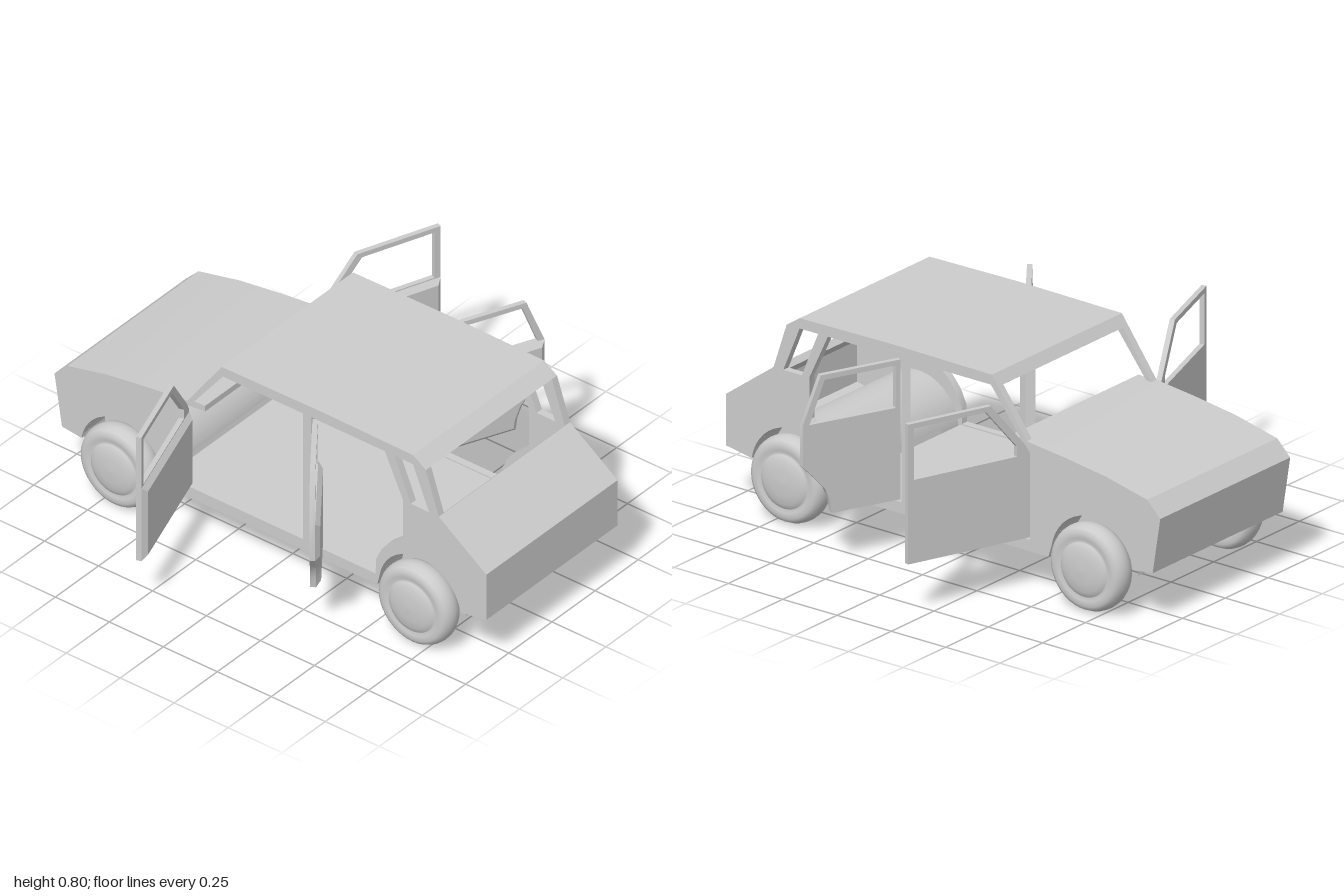
import * as THREE from 'three';
import { toCreasedNormals } from 'three/addons/utils/BufferGeometryUtils.js';

const material = new THREE.MeshStandardMaterial({ color: 0xcccccc });
const thinMaterial = new THREE.MeshStandardMaterial({ color: 0xcccccc, side: THREE.DoubleSide });
const WHEEL_Y = 0.17, ARCH_R = 0.19;
const AXLES = { rear: 0.693, front: -0.687 };
const HALF = 0.38, SKIN = 0.03;

const toVec = (pts) => pts.map(([a, b]) => new THREE.Vector2(a, b));

function mesh(name, geometry, mat = material) {
  const m = new THREE.Mesh(geometry, mat);
  m.name = name;
  return m;
}

// Extrude a (z, y) outline along x, centred on centreX
function extrudeX(pts, width, centreX = 0, holes = [], bevel = null) {
  const shape = new THREE.Shape(toVec(pts));
  for (const h of holes) shape.holes.push(new THREE.Path(toVec(h)));
  const geo = new THREE.ExtrudeGeometry(shape, { depth: width, bevelEnabled: false, ...bevel });
  geo.rotateY(-Math.PI / 2);
  geo.translate(centreX + width / 2, 0, 0);
  return toCreasedNormals(geo, 0.45);
}

// Points over a wheel arch, from the rear end to the front end
function archPoints(z, y0 = 0.2, n = 18) {
  const a = Math.asin((y0 - WHEEL_Y) / ARCH_R);
  return Array.from({ length: n + 1 }, (_, i) => {
    const t = a + (Math.PI - 2 * a) * i / n;
    return [z + ARCH_R * Math.cos(t), WHEEL_Y + ARCH_R * Math.sin(t)];
  });
}

const hoodLine = [[-0.965, 0.21], [-1, 0.43], [-0.94, 0.49], [-0.75, 0.533], [-0.56, 0.56], [-0.385, 0.58]];
const roofLine = [[-0.225, 0.8], [0.25, 0.805], [0.66, 0.8], [0.72, 0.76]];
const tailLine = [[0.78, 0.58], [1, 0.42], [1, 0.22]];

function addBody(group) {
  // Side panels with door and window openings
  const outline = [
    ...tailLine, ...archPoints(AXLES.rear), [0.495, 0.155], [-0.485, 0.155],
    ...archPoints(AXLES.front), ...hoodLine, ...roofLine,
  ];
  const openings = [
    [[0.15, 0.2], [-0.4, 0.2], [-0.4, 0.54], [-0.365, 0.575], [-0.22, 0.76], [0.15, 0.76]],
    [[0.19, 0.2], [0.487, 0.2], [0.49, 0.266], [0.515, 0.32], [0.55, 0.363], [0.615, 0.416],
      [0.615, 0.58], [0.53, 0.76], [0.19, 0.76]],
    [[0.65, 0.58], [0.735, 0.58], [0.66, 0.76], [0.575, 0.76]],
  ];
  for (const [side, s] of [['left', 1], ['right', -1]]) {
    group.add(mesh(side + 'SidePanel', extrudeX(outline, SKIN, s * (HALF - SKIN / 2), openings)));
  }

  // Panels that span the car between the sides
  const w = 2 * HALF - 0.02;
  group.add(mesh('hood', extrudeX([
    [-0.87, 0.2], ...hoodLine, [-0.31, 0.585], [-0.31, 0.56], [-0.56, 0.535], [-0.75, 0.508],
    [-0.92, 0.467], [-0.97, 0.42], [-0.94, 0.235], [-0.87, 0.225],
  ], w)));
  group.add(mesh('roof', extrudeX([
    ...roofLine, [0.7, 0.755], [0.65, 0.77], [-0.215, 0.77], [-0.24, 0.757], [-0.254, 0.76],
  ], w)));
  group.add(mesh('tailgate', extrudeX([
    ...tailLine, [0.88, 0.2], [0.88, 0.225], [0.97, 0.245], [0.97, 0.405], [0.76, 0.56],
  ], w)));
  group.add(mesh('floor', extrudeX([
    [0.495, 0.155], [0.495, 0.195], [-0.49, 0.195], [-0.485, 0.155],
  ], w)));

  // Wheel housings: full-width arch skins with a solid centre between the wheels
  for (const [end, z] of Object.entries(AXLES)) {
    const skin = new THREE.CylinderGeometry(ARCH_R, ARCH_R, 2 * (HALF - SKIN), 24, 1, true, 0, Math.PI);
    skin.rotateZ(Math.PI / 2);
    skin.translate(0, WHEEL_Y, z);
    group.add(mesh(end + 'ArchSkin', skin, thinMaterial));
    const inner = end === 'rear' ? [[0.495, 0.155]] : [];
    const outer = end === 'front' ? [[-0.485, 0.155]] : [];
    group.add(mesh(end + 'ArchCentre', extrudeX([...outer, ...archPoints(z), ...inner], 0.5)));
  }
}

// Wheel with rounded tyre and domed hub, its outside facing side s
function makeWheel(name, s, z) {
  const profile = [
    [0, -0.042], [0.105, -0.042], [0.12, -0.047], [0.142, -0.047], [0.157, -0.038], [0.166, -0.018],
    [0.168, 0], [0.166, 0.018], [0.157, 0.038], [0.142, 0.047], [0.12, 0.047], [0.108, 0.04],
    [0.104, 0.046], [0.085, 0.055], [0.05, 0.061], [0, 0.063],
  ];
  const geo = new THREE.LatheGeometry(toVec(profile), 40);
  geo.rotateZ(-s * Math.PI / 2);
  const wheel = mesh(name, geo);
  wheel.position.set(s * 0.385, WHEEL_Y, z);
  return wheel;
}

// Door outlines measured (distance from hinge, height)
const DOORS = {
  front: {
    hinge: -0.4,
    angles: { left: 69.3, right: 71 },
    outline: [[0, 0.21], [0.515, 0.21], [0.515, 0.755], [0.165, 0.755], [0.02, 0.575], [0, 0.54]],
    window: [[0.49, 0.535], [0.49, 0.735], [0.185, 0.735], [0.055, 0.575], [0.055, 0.535]],
    panel: [[0, 0.21], [0.515, 0.21], [0.515, 0.53], [0, 0.53]],
  },
  rear: {
    hinge: 0.195,
    angles: { left: 66.5, right: 53 },
    outline: [[0, 0.21], [0.283, 0.21], [0.29, 0.26], [0.31, 0.31], [0.345, 0.35], [0.402, 0.41],
      [0.402, 0.57], [0.328, 0.755], [0, 0.755]],
    window: [[0.02, 0.57], [0.375, 0.57], [0.312, 0.735], [0.02, 0.735]],
    panel: [[0, 0.21], [0.283, 0.21], [0.29, 0.26], [0.31, 0.31], [0.345, 0.35], [0.402, 0.41],
      [0.402, 0.57], [0, 0.57]],
  },
};

// Open door: flat skin with window frame, plus a bevelled inner panel
function makeDoor(name, spec, side, s) {
  const door = new THREE.Group();
  door.name = name;
  door.add(mesh(name + 'Skin', extrudeX(spec.outline, 0.02, -s * 0.01, [spec.window])));
  const bevel = {
    bevelEnabled: true, bevelThickness: 0.018, bevelSize: 0.02, bevelOffset: -0.02, bevelSegments: 1,
  };
  door.add(mesh(name + 'InnerPanel', extrudeX(spec.panel, 0.002, -s * 0.02, [], bevel)));
  door.position.set(s * HALF, 0, spec.hinge);
  door.rotation.y = s * THREE.MathUtils.degToRad(spec.angles[side]);
  return door;
}

export function createModel() {
  const car = new THREE.Group();
  car.name = 'car';
  addBody(car);
  for (const [side, s] of [['left', 1], ['right', -1]]) {
    for (const end of ['front', 'rear']) {
      car.add(makeWheel(`${side}${end}Wheel`, s, AXLES[end]));
      car.add(makeDoor(`${side}${end}Door`, DOORS[end], side, s));
    }
  }
  return car;
}
